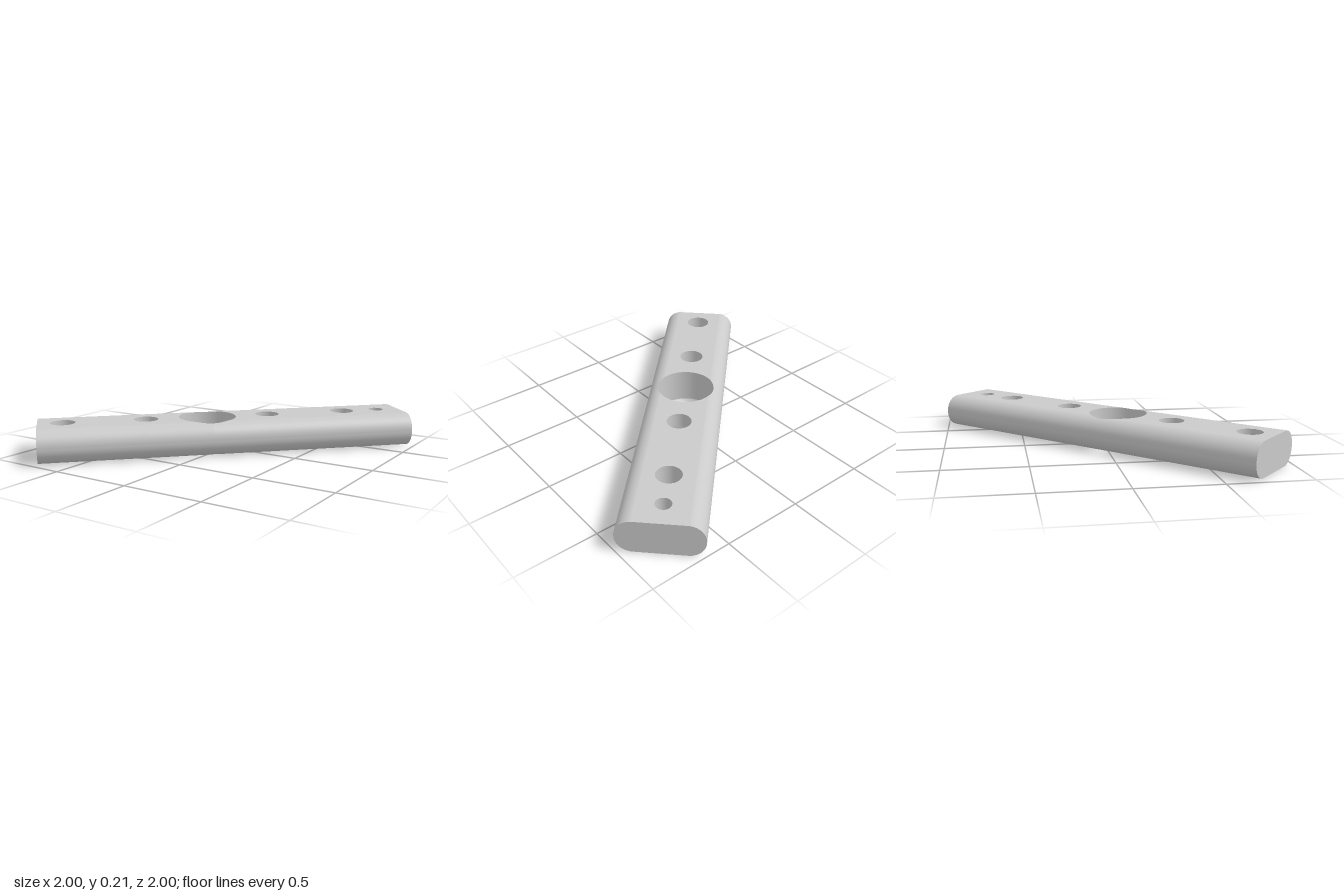
import * as THREE from 'three';

const L = 2.344, W = 0.484, H = 0.21;       // bar length, width, height
const EDGE = 0.1, CORE = W / 2 - EDGE;      // edge rounding and where it begins
const FLAT = 0.152;                         // half width of the drilled faces
const BIG = { x: -0.12, r: 0.18 };          // large central bore
const HOLES = [
  { x: -1.018, r: 0.076 },
  { x: -0.51, r: 0.076, bore: 0.15 },
  { x: 0.27, r: 0.076, bore: 0.15 },
  { x: 0.78, r: 0.076 },
  { x: 1.02, r: 0.047 },
];
const BORE_DEPTH = 0.118;

// distance the rounded edge falls below the flat face at offset z
const drop = (z) => {
  const d = Math.min(EDGE, Math.max(0, Math.abs(z) - CORE));
  return EDGE - Math.sqrt(EDGE * EDGE - d * d);
};

// rounded edge from top to bottom: position and normal in the z-y plane
function edgeProfile() {
  const angles = [], t0 = Math.asin(FLAT / BIG.r);
  for (let i = 0; i <= 10; i++) {
    const z = BIG.r * Math.sin(t0 + (Math.PI / 2 - t0) * i / 10);
    angles.push(Math.asin((z - CORE) / EDGE));
  }
  const a0 = angles[10];
  for (let i = 1; i <= 12; i++) angles.push(a0 + (Math.PI / 2 - a0) * i / 12);
  const top = angles.map((a) => ({
    z: CORE + EDGE * Math.sin(a), y: H - EDGE + EDGE * Math.cos(a),
    nz: Math.sin(a), ny: Math.cos(a),
  }));
  const bottom = top.map((p) => ({ z: p.z, y: H - p.y, nz: p.nz, ny: -p.ny })).reverse();
  return [...top, ...bottom];
}

// one rounded side, end = -1 or 1 picks the half on that side of the large bore
function edgeGeometry(profile, side, end) {
  const pos = [], nor = [], idx = [];
  for (const p of profile) {
    const w = Math.sqrt(Math.max(0, BIG.r ** 2 - p.z ** 2));
    const xs = [BIG.x + end * w, end * L / 2].sort((a, b) => a - b);
    for (const x of xs) {
      pos.push(x, p.y, side * p.z);
      nor.push(0, p.ny, side * p.nz);
    }
  }
  for (let i = 0; i < profile.length - 1; i++) {
    const a = 2 * i, b = a + 1, c = a + 2, d = a + 3;
    if (side > 0) idx.push(a, c, b, b, c, d);
    else idx.push(a, b, c, b, d, c);
  }
  const g = new THREE.BufferGeometry();
  g.setAttribute('position', new THREE.Float32BufferAttribute(pos, 3));
  g.setAttribute('normal', new THREE.Float32BufferAttribute(nor, 3));
  g.setIndex(idx);
  return g;
}

// drilled flat face on one side of the large bore
function faceGeometry(end, isTop) {
  const t0 = Math.asin(FLAT / BIG.r);
  const mid = end > 0 ? 0 : Math.PI;
  const s = new THREE.Shape();
  s.moveTo(end * L / 2, end * FLAT);
  s.lineTo(BIG.x + end * BIG.r * Math.cos(t0), end * FLAT);
  s.absarc(BIG.x, 0, BIG.r, mid + t0, mid - t0, true);
  s.lineTo(end * L / 2, -end * FLAT);
  for (const h of HOLES) {
    if ((h.x - BIG.x) * end < 0) continue;
    const r = !isTop && h.bore ? h.bore : h.r;
    s.holes.push(new THREE.Path().absarc(h.x, 0, r, 0, Math.PI * 2, true));
  }
  const g = new THREE.ShapeGeometry(s, 32);
  g.rotateX(isTop ? -Math.PI / 2 : Math.PI / 2);
  const p = g.attributes.position;
  for (let i = 0; i < p.count; i++) {
    const d = drop(p.getZ(i));
    p.setY(i, isTop ? H - d : d);
  }
  return g;
}

// inward-facing band from (r1, y1) down to (r2, y2)
const band = (x, r1, y1, r2, y2) =>
  new THREE.LatheGeometry([new THREE.Vector2(r1, y1), new THREE.Vector2(r2, y2)], 64).translate(x, 0, 0);

export function createModel() {
  const model = new THREE.Group();
  model.name = 'drilledBar';
  const metal = new THREE.MeshStandardMaterial({ color: 0xcacaca });
  metal.name = 'grey metal';
  const add = (geometry, name) => {
    const m = new THREE.Mesh(geometry, metal);
    m.name = name;
    model.add(m);
  };
  const profile = edgeProfile();

  // faces and rounded edges
  for (const end of [-1, 1]) {
    add(faceGeometry(end, true), 'topFace');
    add(faceGeometry(end, false), 'bottomFace');
    for (const side of [-1, 1]) add(edgeGeometry(profile, side, end), 'roundedEdge');
  }

  // end caps
  const outline = [
    ...profile.map((p) => new THREE.Vector2(p.z, p.y)),
    ...profile.map((p) => new THREE.Vector2(-p.z, p.y)).reverse(),
  ];
  for (const end of [-1, 1]) {
    add(new THREE.ShapeGeometry(new THREE.Shape(outline))
      .rotateY(end * Math.PI / 2).translate(end * L / 2, 0, 0), 'endCap');
  }

  // large bore, its rims following the rounded edges
  const big = band(BIG.x, BIG.r, H, BIG.r, 0);
  const p = big.attributes.position;
  for (let i = 0; i < p.count; i++) {
    const d = drop(p.getZ(i));
    p.setY(i, p.getY(i) > H / 2 ? H - d : d);
  }
  add(big, 'largeBore');

  // small holes, two of them counterbored from below
  for (const h of HOLES) {
    const floor = h.bore ? BORE_DEPTH : 0;
    add(band(h.x, h.r, H, h.r, floor), 'holeWall');
    if (h.bore) {
      add(band(h.x, h.r, floor, h.bore, floor), 'counterboreFloor');
      add(band(h.x, h.bore, floor, h.bore, 0), 'counterboreWall');
    }
  }

  // the bar lies diagonally
  model.rotation.y = Math.PI / 4 + 0.003;
  return model;
}
